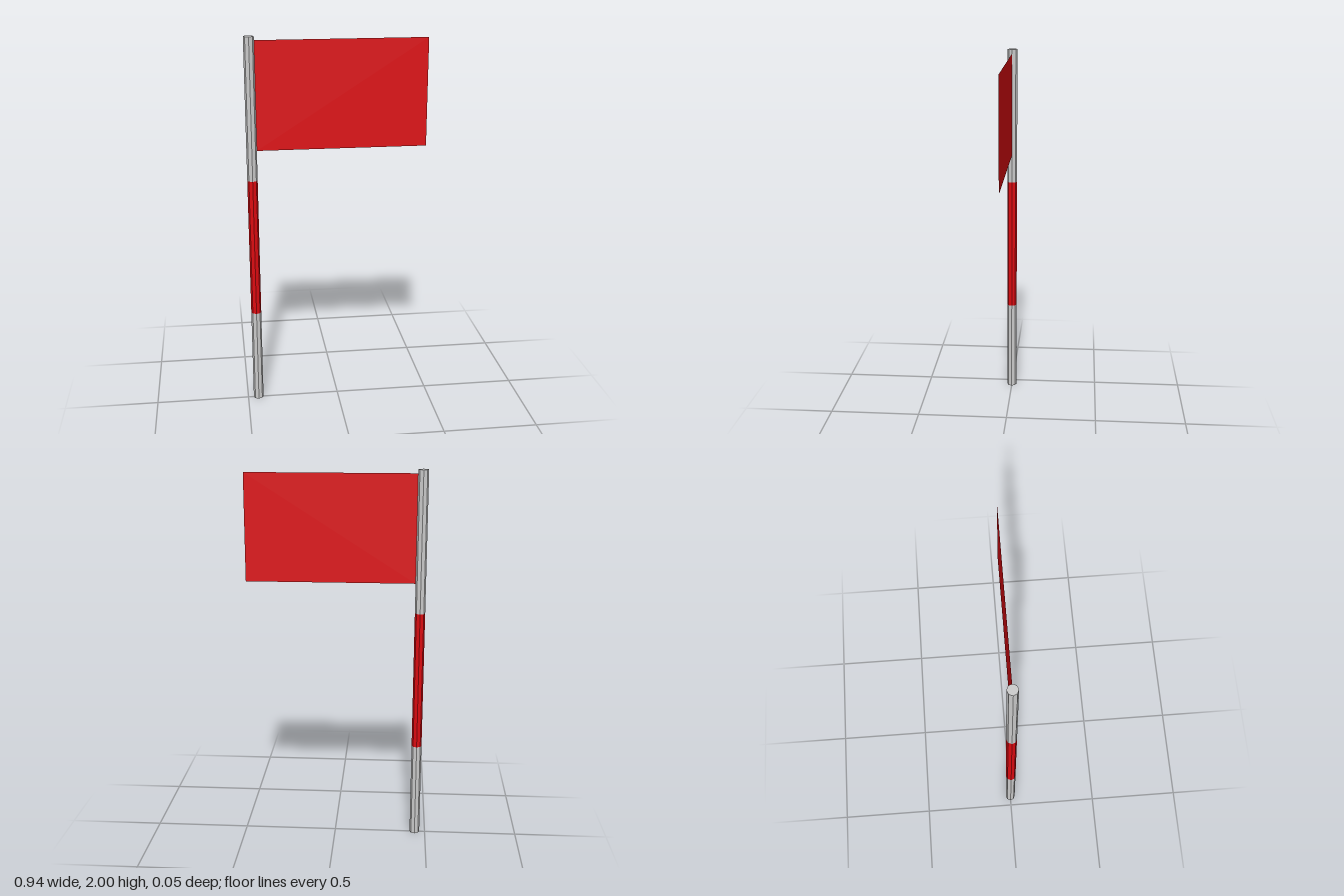
import * as THREE from 'three';

export function createModel() {
  const model = new THREE.Group();
  const grey = new THREE.MeshStandardMaterial({ color: 0xcccccc, flatShading: true });
  const red = new THREE.MeshStandardMaterial({ color: 0xdd0a10, flatShading: true });
  const cloth = red.clone();
  cloth.side = THREE.DoubleSide;

  const poleX = -0.443, radius = 0.027;

  // Eight-sided pole in three stacked sections, closed only at the two ends
  const sections = [
    ['lowerPole', 0, 0.515, grey],
    ['poleBand', 0.515, 1.258, red],
    ['upperPole', 1.258, 2, grey],
  ];
  for (const [name, y0, y1, material] of sections) {
    const section = new THREE.Mesh(
      new THREE.CylinderGeometry(radius, radius, y1 - y0, 8, 1, true), material);
    section.name = name;
    section.position.set(poleX, (y0 + y1) / 2, 0);
    model.add(section);
  }
  for (const [name, y, tilt] of [['topCap', 2, -1], ['bottomCap', 0, 1]]) {
    const cap = new THREE.Mesh(new THREE.CircleGeometry(radius, 8), grey);
    cap.name = name;
    cap.position.set(poleX, y, 0);
    cap.rotation.x = tilt * Math.PI / 2;
    model.add(cap);
  }

  // Flat sheet of cloth, attached along the pole's side
  const left = poleX + radius, right = 0.47, bottom = 1.415, top = 1.98;
  const flag = new THREE.Mesh(new THREE.PlaneGeometry(right - left, top - bottom), cloth);
  flag.name = 'flag';
  flag.position.set((left + right) / 2, (bottom + top) / 2, 0);
  model.add(flag);

  return model;
}
